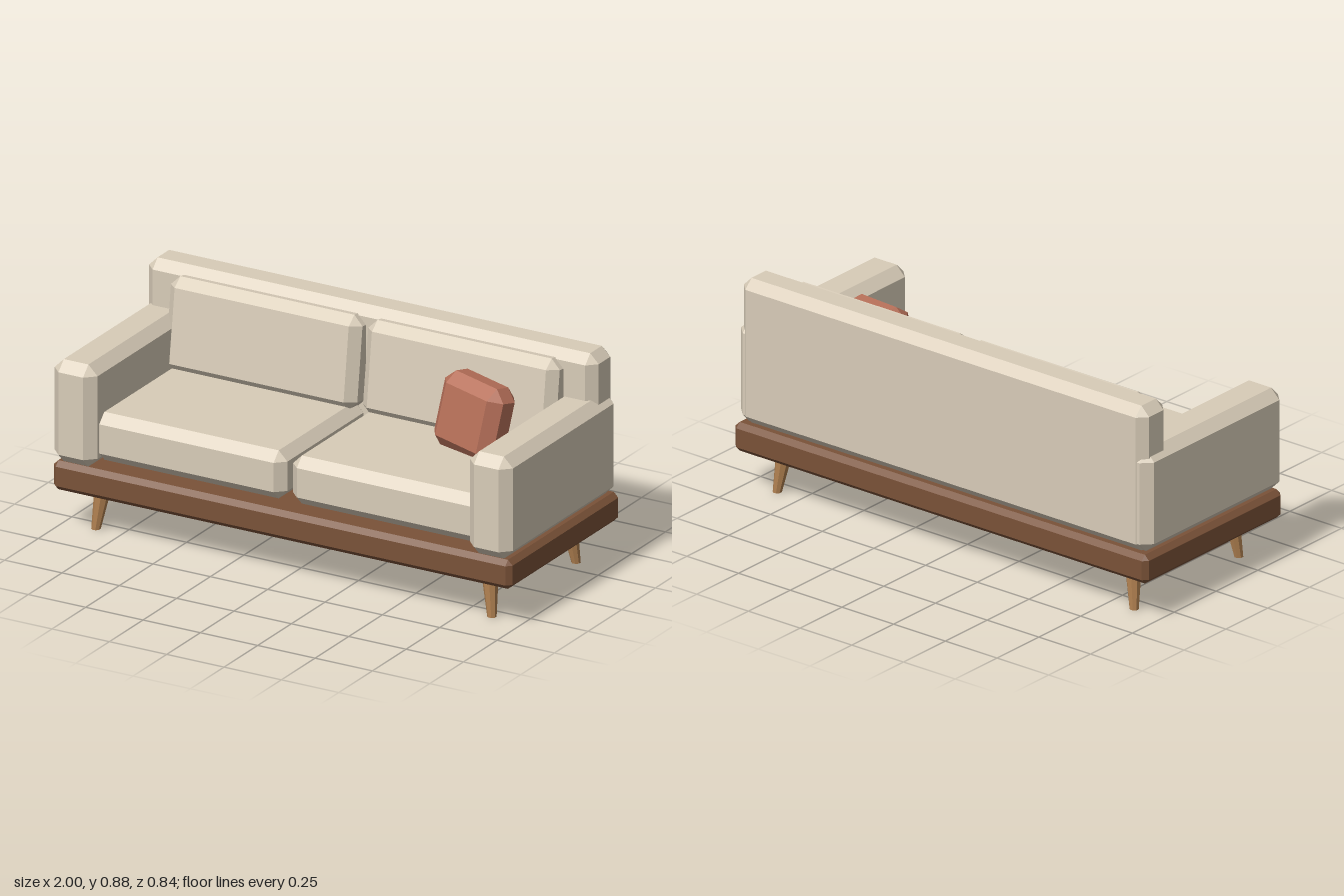
import * as THREE from 'three';
import { ConvexGeometry } from 'three/addons/geometries/ConvexGeometry.js';

const material = (color) => new THREE.MeshStandardMaterial({ color, flatShading: true });

// Box of size w x h x d with every edge cut at 45 degrees by c
function chamferBox(w, h, d, c) {
  const points = [];
  for (const sx of [-1, 1]) for (const sy of [-1, 1]) for (const sz of [-1, 1]) {
    const x = w / 2, y = h / 2, z = d / 2;
    points.push(new THREE.Vector3(sx * x, sy * (y - c), sz * (z - c)));
    points.push(new THREE.Vector3(sx * (x - c), sy * y, sz * (z - c)));
    points.push(new THREE.Vector3(sx * (x - c), sy * (y - c), sz * z));
  }
  return new ConvexGeometry(points);
}

export function createModel() {
  const sofa = new THREE.Group();
  sofa.name = 'sofa';
  const fabric = material(0xd8ccb8);
  const darkWood = material(0x7a5238);
  const lightWood = material(0xb08050);
  const accent = material(0xb56f58);

  function add(name, geometry, mat, position, rotation = [0, 0, 0]) {
    const mesh = new THREE.Mesh(geometry, mat);
    mesh.name = name;
    mesh.position.set(...position);
    mesh.rotation.set(...rotation);
    sofa.add(mesh);
    return mesh;
  }

  // Wooden plinth and backrest
  add('base', chamferBox(2, 0.118, 0.825, 0.02), darkWood, [0, 0.223, -0.0075]);
  add('backrest', chamferBox(1.96, 0.595, 0.16, 0.037), fabric, [0, 0.5785, -0.332]);

  const armGeometry = chamferBox(0.187, 0.415, 0.828, 0.04);
  const seatGeometry = chamferBox(0.835, 0.195, 0.64, 0.038);
  const backGeometry = chamferBox(0.835, 0.374, 0.14, 0.038);

  for (const side of [1, -1]) {
    const label = side > 0 ? 'left' : 'right';
    add(label + 'Arm', armGeometry, fabric, [side * 0.9055, 0.4875, 0.006]);
    add(label + 'SeatCushion', seatGeometry, fabric, [side * 0.43, 0.3975, 0.05]);
    add(label + 'BackCushion', backGeometry, fabric, [side * 0.43, 0.658, -0.238], [-0.13, 0, 0]);

    // Tapered legs, sheared so that the feet splay outwards
    for (const end of [1, -1]) {
      const leg = new THREE.CylinderGeometry(0.034, 0.018, 0.175, 8, 1);
      leg.rotateY(Math.PI / 8);
      const p = leg.attributes.position;
      for (let i = 0; i < p.count; i++) {
        const t = 0.5 - p.getY(i) / 0.175;
        p.setX(i, p.getX(i) + side * 0.021 * t);
        p.setZ(i, p.getZ(i) + end * 0.021 * t);
      }
      leg.computeVertexNormals();
      const z = end > 0 ? 0.284 : -0.299;
      add(label + (end > 0 ? 'Front' : 'Back') + 'Leg', leg, lightWood, [side * 0.842, 0.0875, z]);
    }
  }

  // Loose pillow leaning on the left seat
  add('throwPillow', chamferBox(0.3, 0.3, 0.155, 0.045), accent, [0.57, 0.622, -0.065], [-0.2, -0.2, -0.13]);

  return sofa;
}
